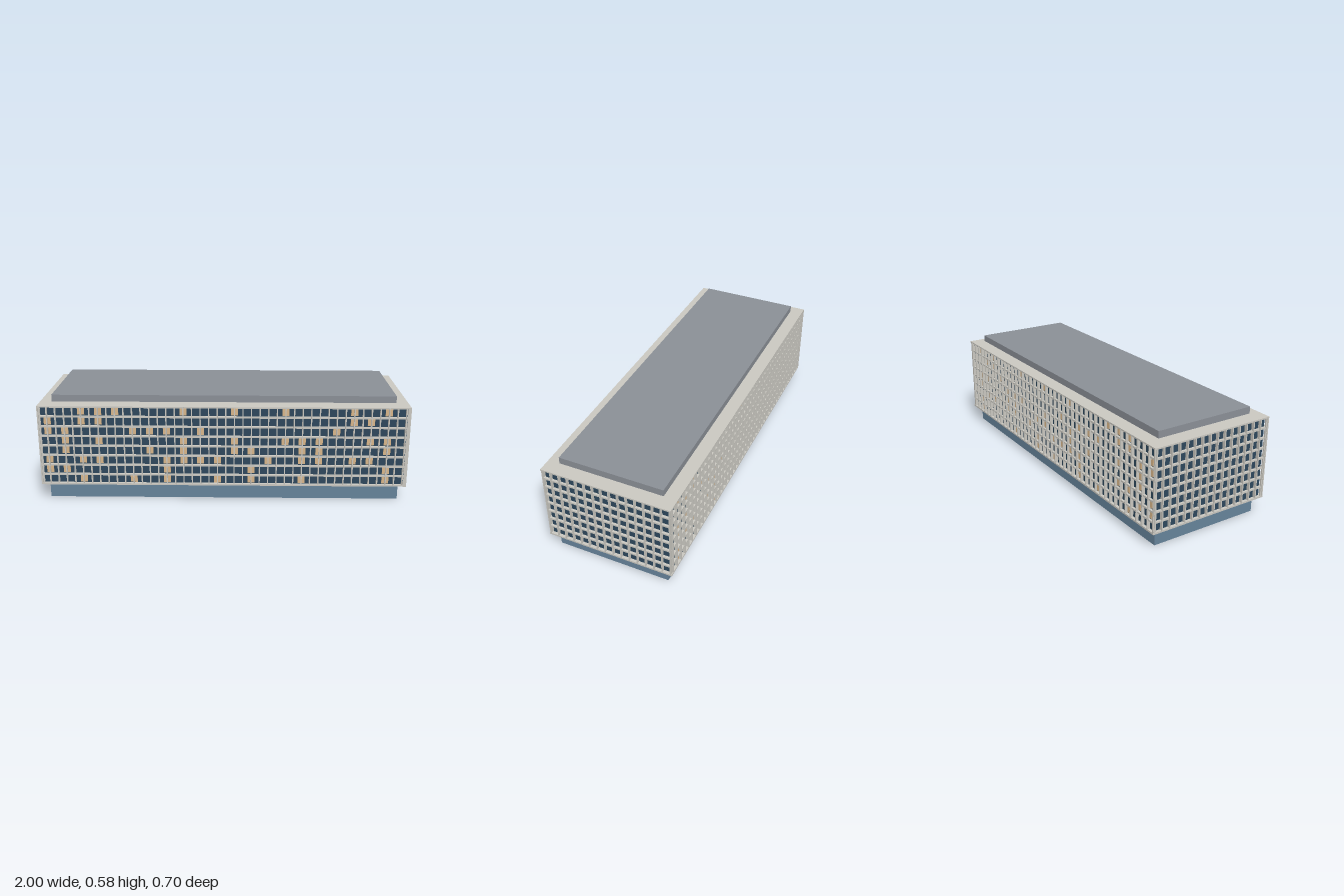
import * as THREE from 'three';
import { mergeGeometries } from 'three/addons/utils/BufferGeometryUtils.js';

const mat = (name, color) => {
  const m = new THREE.MeshStandardMaterial({ color });
  m.name = name;
  return m;
};

// Box geometry given by size and centre
const box = (w, h, d, x, y, z) => new THREE.BoxGeometry(w, h, d).translate(x, y, z);

export function createModel() {
  const group = new THREE.Group();
  const concrete = mat('concrete', 0xcac8c1);
  const glass = mat('darkGlass', 0x2d475c);
  const lit = mat('litWindow', 0xd9b68a);
  const baseBlue = mat('baseGlass', 0x66839a);
  const roofGrey = mat('roofGrey', 0x8a8f96);

  const add = (name, material, geos) => {
    const mesh = new THREE.Mesh(geos.length > 1 ? mergeGeometries(geos) : geos[0], material);
    mesh.name = name;
    group.add(mesh);
  };

  const floors = 8, floorH = 0.055, y0 = 0.0915, bay = 0.0458;
  const yTop = y0 + floors * floorH;
  const wallX = 0.983, wallZ = 0.335;

  // Recessed ground floor, glazed body and roof plant deck
  add('base', baseBlue, [box(1.922, 0.087, 0.626, 0, 0.0435, 0)]);
  add('glassBody', glass, [box(2 * wallX, yTop - y0, 2 * wallZ, 0, (y0 + yTop) / 2, 0)]);
  add('roofDeck', roofGrey, [box(1.858, 0.037, 0.566, 0, 0.5615, 0)]);

  // Bottom slab, roof slab and the floor bands between them
  add('bottomSlab', concrete, [box(1.998, 0.0095, 0.702, 0, y0, 0)]);
  add('roofSlab', concrete, [box(1.998, 0.008, 0.702, 0, yTop - 0.0005, 0)]);
  const bands = [];
  for (let i = 1; i < floors; i++) bands.push(box(1.99, 0.0095, 0.694, 0, y0 + i * floorH - 0.001, 0));
  add('floorBands', concrete, bands);

  // Vertical fins on all four sides
  const finH = yTop - y0, finY = (y0 + yTop) / 2, finD = 0.018;
  const longFins = [], endFins = [];
  for (const s of [-1, 1]) {
    for (let i = 0; i < 44; i++) {
      longFins.push(box(0.006, finH, finD, -0.994 + i * bay, finY, s * (wallZ + finD / 2 - 0.001)));
    }
    for (let i = 0; i < 16; i++) {
      endFins.push(box(finD, finH, 0.006, s * (wallX + finD / 2 - 0.001), finY, -0.3435 + i * bay));
    }
  }
  add('longSideFins', concrete, longFins);
  add('endFins', concrete, endFins);

  // Lit windows per floor from the top, by column number
  const litColumns = [
    [2, 3, 4, 8, 11, 14, 18, 20],
    [0, 2, 3, 18, 19],
    [0, 1, 5, 6, 7, 9, 17],
    [1, 3, 8, 11, 14, 15, 16, 19, 20],
    [1, 6, 8, 11, 12, 15, 16, 20],
    [0, 2, 3, 7, 8, 9, 10, 13, 15, 16, 18, 19],
    [0, 1, 7, 12, 20],
    [2, 5, 7, 10, 12, 15, 20],
  ];
  const windows = [];
  litColumns.forEach((cols, row) => {
    const y = yTop - (row + 0.5) * floorH;
    for (const c of cols) {
      for (const s of [-1, 1]) {
        windows.push(box(0.038, 0.038, 0.004, -0.948 + c * 2 * bay, y, s * (wallZ + 0.001)));
      }
    }
  });
  add('litWindows', lit, windows);

  return group;
}
